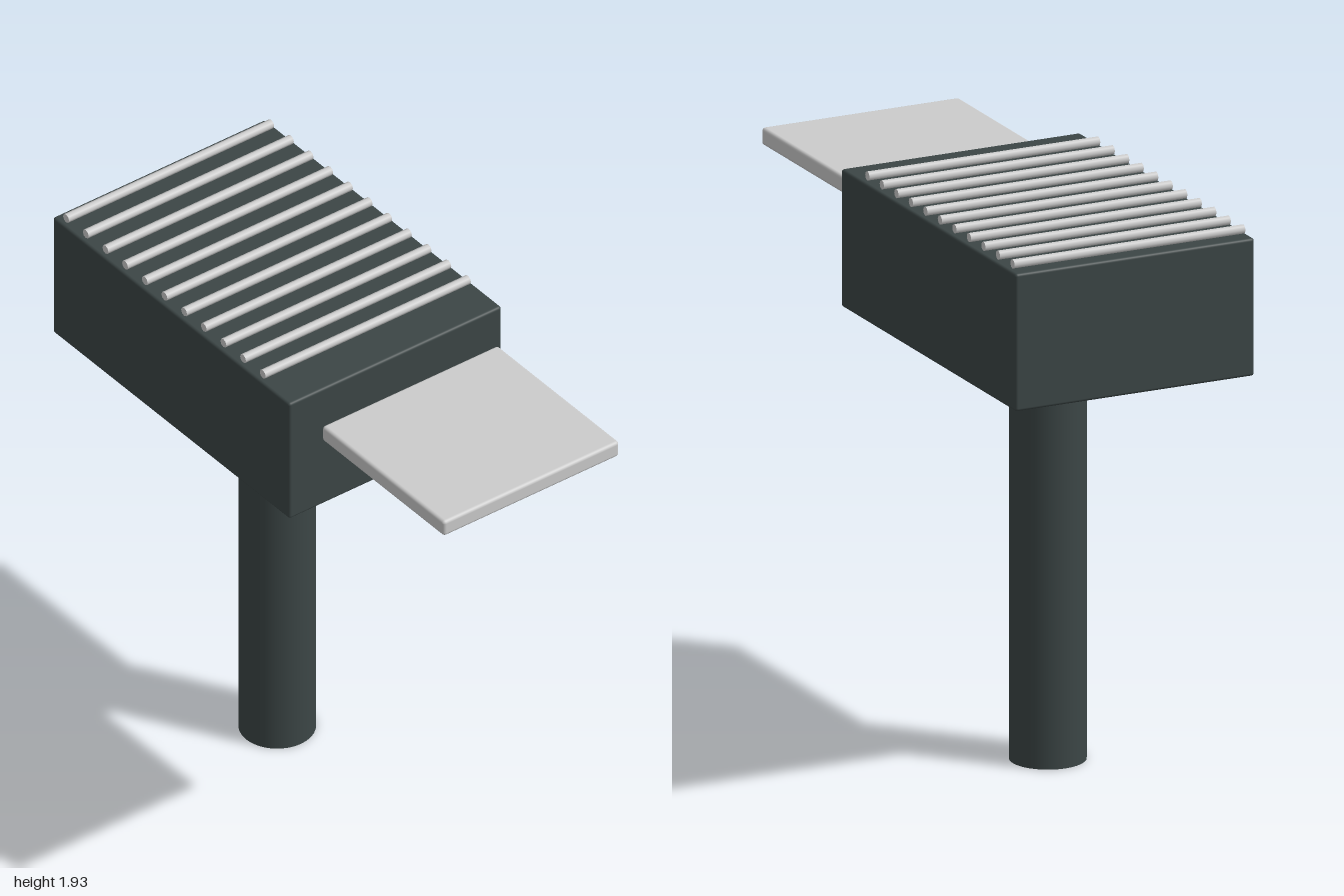
import * as THREE from 'three';
import { RoundedBoxGeometry } from 'three/addons/geometries/RoundedBoxGeometry.js';

export function createModel() {
  const model = new THREE.Group();
  model.name = 'pedestalGrill';
  const dark = new THREE.MeshStandardMaterial({ color: 0x3c4646 });
  const steel = new THREE.MeshStandardMaterial({ color: 0xc4c6c2 });

  const add = (name, geometry, material, x, y, z = 0) => {
    const mesh = new THREE.Mesh(geometry, material);
    mesh.name = name;
    mesh.position.set(x, y, z);
    model.add(mesh);
    return mesh;
  };

  // Post and firebox
  add('post', new THREE.CylinderGeometry(0.127, 0.127, 1.43, 32), dark, -0.365, 0.715);
  add('firebox', new RoundedBoxGeometry(1.27, 0.47, 0.87, 3, 0.01), dark, -0.365, 1.658);

  // Side shelf on the model's left
  add('sideShelf', new RoundedBoxGeometry(0.655, 0.06, 0.72, 3, 0.012), steel, 0.6725, 1.787);

  // Grate bars running front to back
  const bar = new THREE.CylinderGeometry(0.016, 0.016, 0.84, 8).rotateX(Math.PI / 2);
  for (let i = 0; i < 11; i++) {
    add(`grateBar${i + 1}`, bar, steel, -0.947 + i * 0.116, 1.912);
  }
  // Even spacing across the firebox top
  model.children.filter((m) => m.name.startsWith('grateBar'))
    .forEach((m, i) => { m.position.x = -0.947 + i * (1.16 / 11); });

  return model;
}
